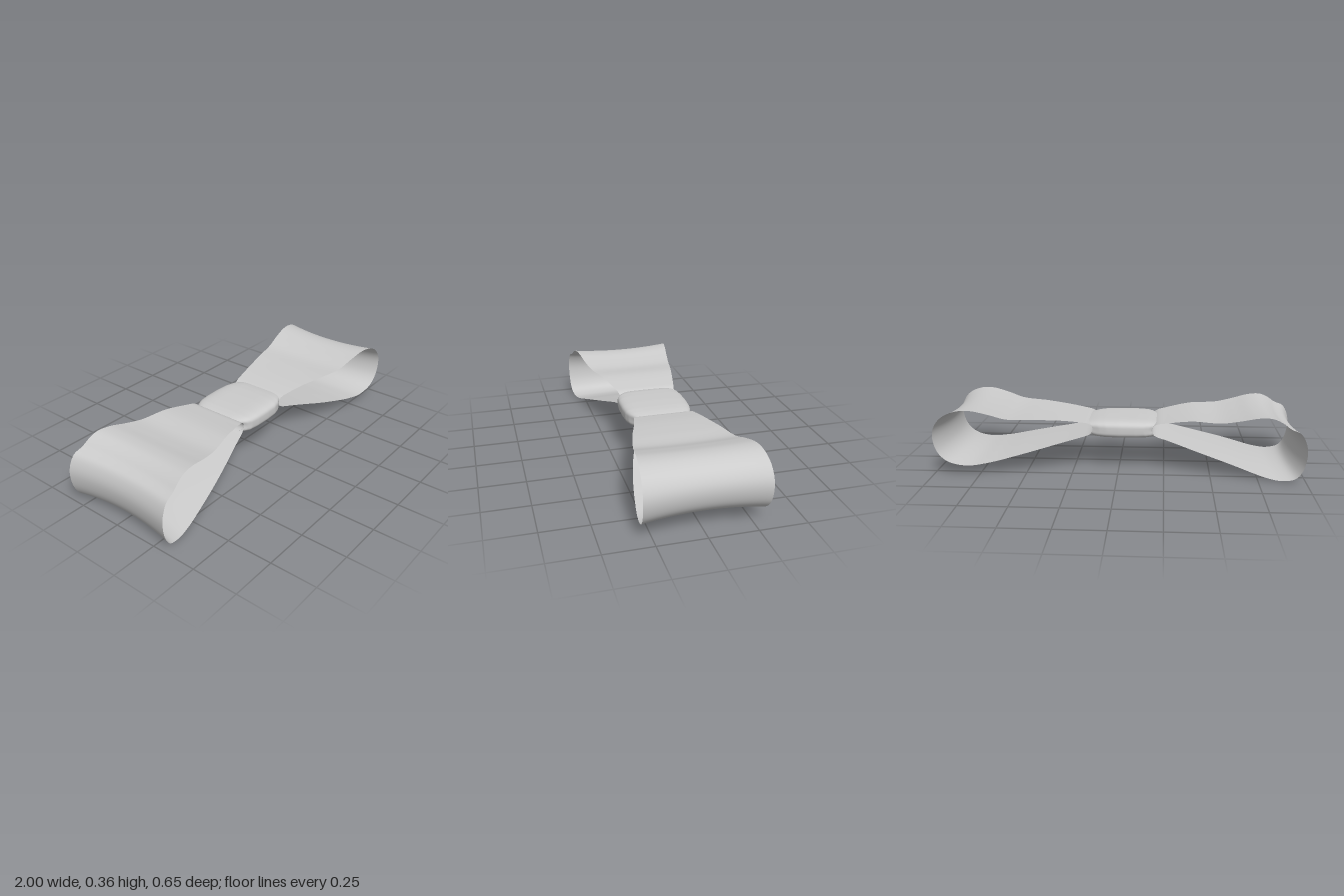
import * as THREE from 'three';

const material = new THREE.MeshStandardMaterial({ color: 0xcccccc, side: THREE.DoubleSide });

// Smooth surface from rows x cols points; each row is a closed ring.
function ringSurface(name, rows, cols, pointAt) {
  const positions = [], index = [];
  for (let r = 0; r <= rows; r++) {
    for (let c = 0; c < cols; c++) {
      positions.push(...pointAt(r / rows, c / cols));
      if (r === rows) continue;
      const a = r * cols + c, b = r * cols + (c + 1) % cols;
      index.push(a, b, a + cols, b, b + cols, a + cols);
    }
  }
  const geometry = new THREE.BufferGeometry();
  geometry.setAttribute('position', new THREE.Float32BufferAttribute(positions, 3));
  geometry.setIndex(index);
  geometry.computeVertexNormals();
  const mesh = new THREE.Mesh(geometry, material);
  mesh.name = name;
  return mesh;
}

// Linear-interpolated lookup in rows of [key, ...values], sorted by key.
function lookup(table, key) {
  let i = 0;
  while (i < table.length - 2 && key > table[i + 1][0]) i++;
  const t = THREE.MathUtils.clamp((key - table[i][0]) / (table[i + 1][0] - table[i][0]), 0, 1);
  return table[i].map((v, k) => THREE.MathUtils.lerp(v, table[i + 1][k], t));
}

// Ribbon loop: closed side profile swept across z, waisted towards the middle.
function ribbonLoop(name, profile, edges, centreY) {
  const curve = new THREE.CatmullRomCurve3(
    profile.map(([x, y]) => new THREE.Vector3(x, y, 0)), true, 'centripetal');
  const edgeCurve = [1, 2].map(k => new THREE.SplineCurve(
    edges.map(e => new THREE.Vector2(e[0], e[k]))).getPoints(60));
  const cols = 160;
  const points = curve.getSpacedPoints(cols);
  return ringSurface(name, 20, cols, (u, v) => {
    const p = points[Math.round(v * cols)];
    const ax = Math.abs(p.x);
    const [zMin, zMax] = edgeCurve.map(c => lookup(c.map(q => [q.x, q.y]), ax)[1]);
    const s = u * 2 - 1;
    const t = THREE.MathUtils.smoothstep(ax, 0.2, 0.8);
    const pinch = 1 - 0.08 * t * (1 - s * s);
    const cx = Math.sign(p.x) * 0.6;
    return [
      cx + (p.x - cx) * pinch,
      centreY + (p.y - centreY) * pinch,
      THREE.MathUtils.lerp(zMin, zMax, u),
    ];
  });
}

// Central knot: rounded-rectangle sections along x with hollowed ends.
function knotBand() {
  // x, bottom, top, back, front
  const sections = [
    [-0.207, 0.198, 0.267, -0.183, 0.140],
    [-0.19, 0.189, 0.273, -0.192, 0.155],
    [-0.16, 0.184, 0.278, -0.201, 0.168],
    [-0.10, 0.181, 0.281, -0.206, 0.174],
    [0.00, 0.180, 0.282, -0.207, 0.175],
    [0.08, 0.182, 0.280, -0.203, 0.171],
    [0.125, 0.186, 0.276, -0.195, 0.160],
    [0.15, 0.191, 0.272, -0.187, 0.148],
    [0.168, 0.197, 0.268, -0.181, 0.139],
  ];
  const round = (v, e) => Math.sign(v) * Math.abs(v) ** e;
  return ringSurface('knot', 48, 64, (u, v) => {
    const [x, y0, y1, z0, z1] = lookup(
      sections, THREE.MathUtils.lerp(-0.207, 0.168, u));
    const angle = v * Math.PI * 2;
    const ny = round(Math.sin(angle), 0.55), nz = round(Math.cos(angle), 0.4);
    const hollow = 1 - 0.14 * Math.max(0, 1 - ny * ny);
    return [
      -0.02 + (x + 0.02) * hollow,
      (y0 + y1) / 2 + ny * (y1 - y0) / 2,
      (z0 + z1) / 2 + nz * (z1 - z0) / 2,
    ];
  });
}

export function createModel() {
  const group = new THREE.Group();
  group.name = 'bow';

  // Loop on the +x side
  group.add(ribbonLoop('leftLoop', [
    [0.135, 0.232], [0.146, 0.253], [0.17, 0.267], [0.21, 0.274], [0.3, 0.286],
    [0.45, 0.297], [0.6, 0.305], [0.7, 0.335], [0.8, 0.357], [0.88, 0.35],
    [0.95, 0.315], [0.988, 0.26], [0.995, 0.2], [0.972, 0.125], [0.92, 0.075],
    [0.82, 0.051], [0.7, 0.065], [0.55, 0.1], [0.4, 0.138], [0.22, 0.185],
    [0.17, 0.199], [0.146, 0.212],
  ], [
    [0.13, -0.178, 0.136], [0.3, -0.208, 0.177], [0.45, -0.24, 0.222],
    [0.6, -0.27, 0.256], [0.8, -0.298, 0.288], [1, -0.313, 0.308],
  ], 0.2));

  // Loop on the -x side
  group.add(ribbonLoop('rightLoop', [
    [-0.18, 0.232], [-0.188, 0.252], [-0.21, 0.267], [-0.26, 0.278], [-0.4, 0.299],
    [-0.55, 0.298], [-0.65, 0.315], [-0.75, 0.337], [-0.82, 0.337], [-0.87, 0.315],
    [-0.91, 0.287], [-0.96, 0.265], [-0.988, 0.22], [-1, 0.16], [-0.985, 0.07],
    [-0.95, 0.018], [-0.88, 0.001], [-0.8, 0.012], [-0.6, 0.077], [-0.4, 0.14],
    [-0.26, 0.184], [-0.21, 0.197], [-0.188, 0.211],
  ], [
    [0.17, -0.183, 0.138], [0.3, -0.21, 0.175], [0.45, -0.24, 0.218],
    [0.6, -0.266, 0.255], [0.8, -0.298, 0.292], [1, -0.326, 0.32],
  ], 0.2));

  group.add(knotBand());
  return group;
}
